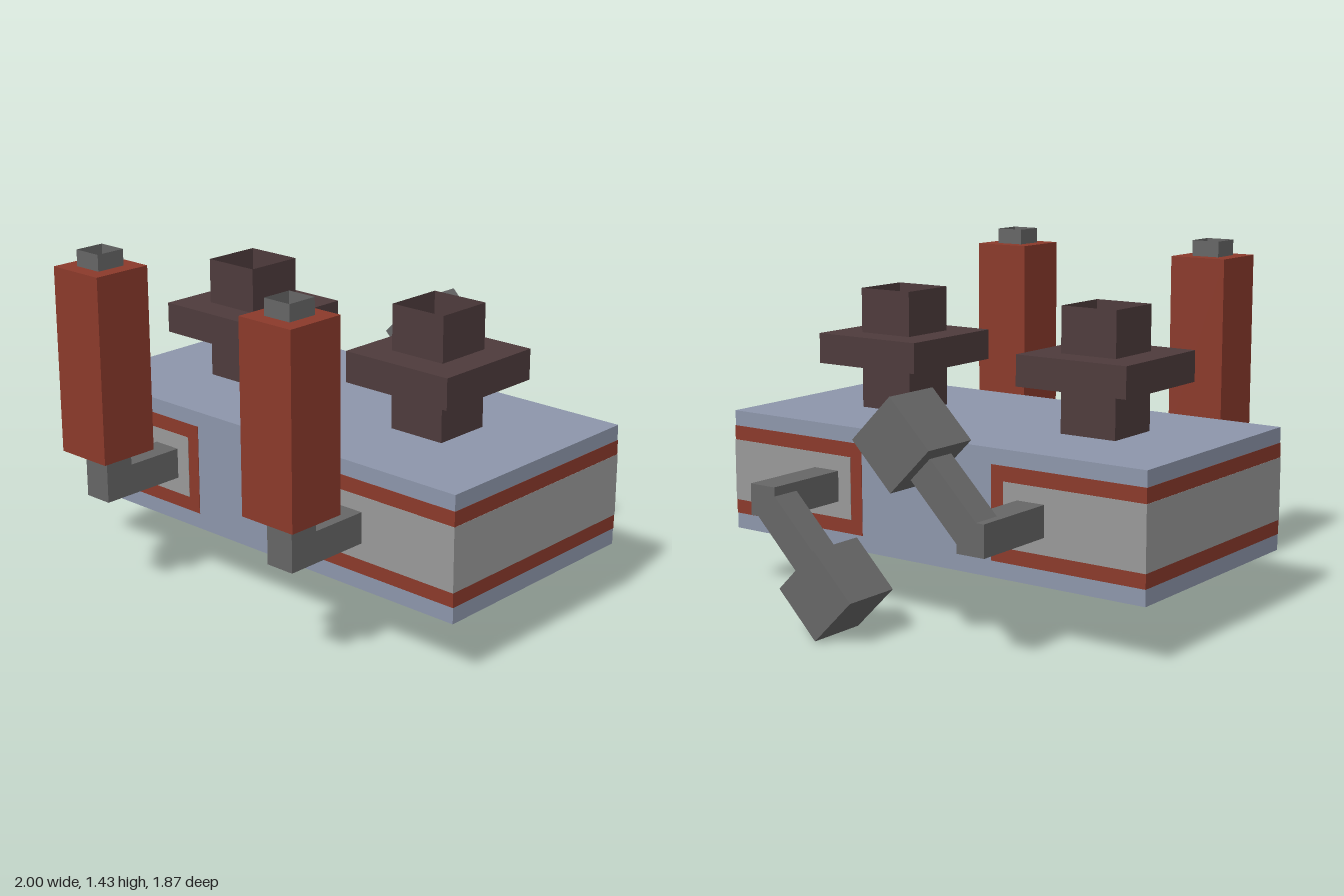
import * as THREE from 'three';

function material(name, color, side = THREE.FrontSide) {
  const m = new THREE.MeshStandardMaterial({ color, side });
  m.name = name;
  return m;
}

export function createModel() {
  const slate = material('slate blue', 0x8d96ab);
  const red = material('brick red', 0x8b3a2b);
  const lightGrey = material('light grey', 0x999999);
  const darkGrey = material('dark grey', 0x666666, THREE.DoubleSide);
  const brown = material('dark brown', 0x4e3b3c, THREE.DoubleSide);

  const model = new THREE.Group();
  model.name = 'blockMachine';

  // Box given by its min and max corners; openTop leaves out the upper face
  function box(parent, name, mat, min, max, openTop = false) {
    const size = max.map((v, i) => v - min[i]);
    const geo = new THREE.BoxGeometry(...size);
    if (openTop) {
      const index = Array.from(geo.index.array);
      index.splice(12, 6);
      geo.setIndex(index);
      geo.clearGroups();
    }
    const mesh = new THREE.Mesh(geo, mat);
    mesh.name = name;
    mesh.position.set(...max.map((v, i) => (v + min[i]) / 2));
    parent.add(mesh);
    return mesh;
  }

  box(model, 'body', slate, [-1, 0.24, -0.5], [1, 0.74, 0.5]);

  for (const s of [-1, 1]) {
    const side = s > 0 ? 'left' : 'right';
    const x = s * 0.5;

    // Painted panels wrapping around each end of the body
    const span = (a, b) => (s > 0 ? [a, b] : [-b, -a]);
    const [r0, r1] = span(0.318, 1.001);
    box(model, side + 'PanelBorder', red, [r0, 0.305, -0.502], [r1, 0.677, 0.502]);
    const [g0, g1] = span(0.375, 1.002);
    box(model, side + 'Panel', lightGrey, [g0, 0.363, -0.504], [g1, 0.618, 0.504]);

    // Chimney on the roof with a wide flange and an open mouth
    const chimney = new THREE.Group();
    chimney.name = side + 'Chimney';
    chimney.position.x = x;
    model.add(chimney);
    box(chimney, 'chimneyBase', brown, [-0.125, 0.74, -0.125], [0.125, 0.93, 0.125]);
    box(chimney, 'chimneyFlange', brown, [-0.25, 0.93, -0.25], [0.25, 1.055, 0.25]);
    box(chimney, 'chimneyMouth', brown, [-0.125, 1.055, -0.125], [0.125, 1.24, 0.125], true);

    // Front exhaust: bracket, post, red sleeve and open tip
    const stack = new THREE.Group();
    stack.name = side + 'FrontStack';
    stack.position.x = x;
    model.add(stack);
    box(stack, 'stackBracket', darkGrey, [-0.0615, 0.43, 0.5], [0.0615, 0.555, 0.875]);
    box(stack, 'stackPost', darkGrey, [-0.0615, 0.555, 0.75], [0.0615, 0.618, 0.875]);
    box(stack, 'stackSleeve', red, [-0.125, 0.618, 0.687], [0.125, 1.365, 0.937]);
    box(stack, 'stackTip', darkGrey, [-0.0615, 1.365, 0.75], [0.0615, 1.43, 0.875], true);

    // Rear hammer: the right one points up, the left one points down
    const hammer = new THREE.Group();
    hammer.name = side + 'Hammer';
    model.add(hammer);
    box(hammer, 'hammerBracket', darkGrey, [x - 0.0615, 0.43, -0.875], [x + 0.0615, 0.555, -0.5]);
    const swing = new THREE.Group();
    swing.name = 'hammerSwing';
    swing.position.set(x, 0.4925, -0.8125);
    swing.rotation.z = s > 0 ? Math.PI * 0.75 : -Math.PI / 4;
    hammer.add(swing);
    box(swing, 'hammerHandle', darkGrey, [-0.0625, 0, -0.0625], [0.0625, 0.32, 0.0625]);
    box(swing, 'hammerHead', darkGrey, [-0.125, 0.316, -0.125], [0.125, 0.566, 0.125]);
  }

  return model;
}
